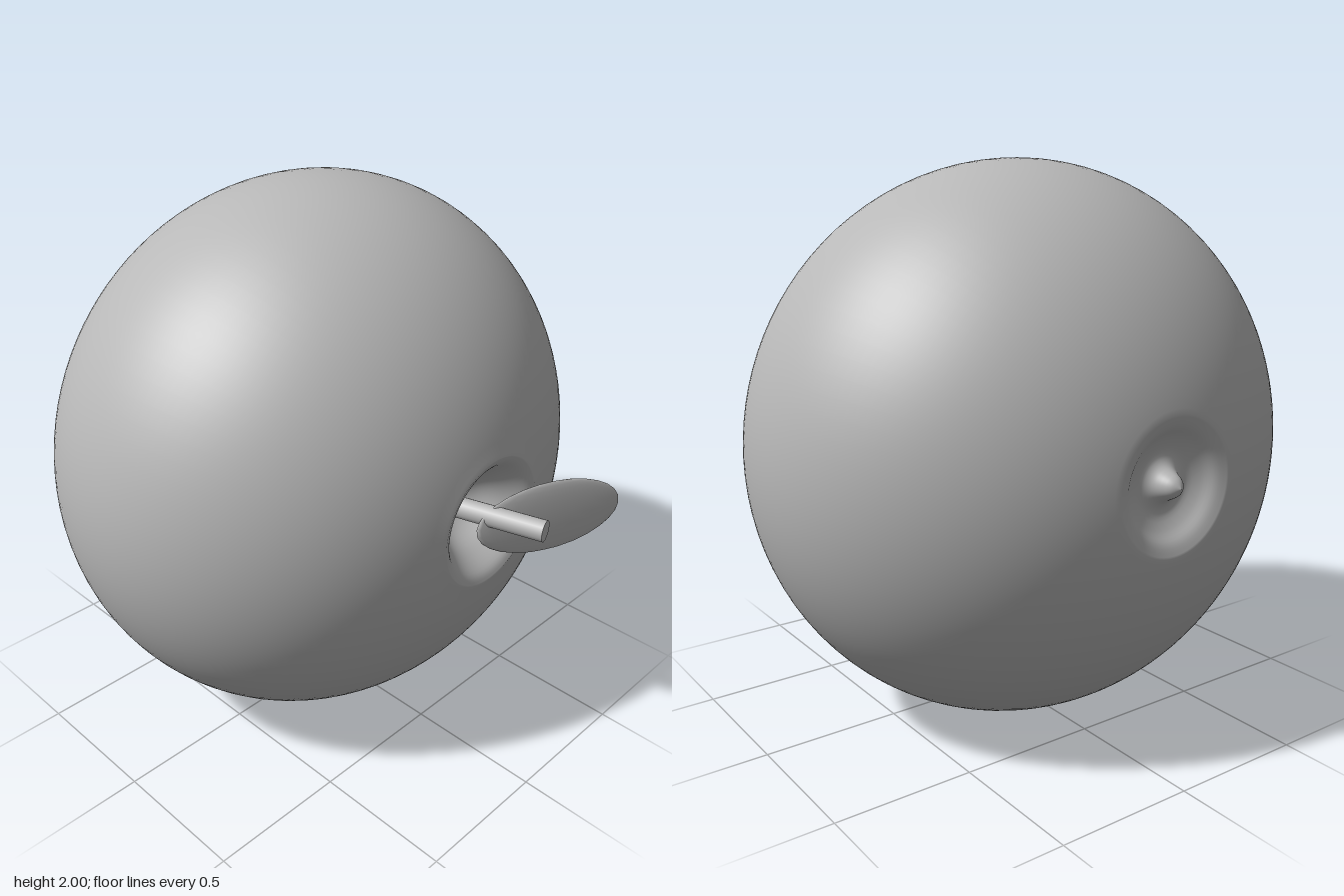
import * as THREE from 'three';

export function createModel() {
  const group = new THREE.Group();
  const grey = new THREE.MeshStandardMaterial({ color: 0xb8b8b8 });
  grey.name = 'plain grey';

  const add = (name, geometry) => {
    const mesh = new THREE.Mesh(geometry, grey);
    mesh.name = name;
    group.add(mesh);
    return mesh;
  };
  const smooth = (pts, n) =>
    new THREE.SplineCurve(pts.map(([r, z]) => new THREE.Vector2(r, z))).getPoints(n);

  // Fruit: squashed ball with a pointed blossom end at the back and a stem hollow in front
  const profile = smooth([[0, -0.935], [0.03, -0.915], [0.06, -0.865], [0.1, -0.85],
    [0.15, -0.87], [0.19, -0.9], [0.23, -0.916]], 24);
  const start = Math.asin(0.25);
  for (let i = 0; i <= 64; i++) {
    const a = start + (i / 64) * (Math.PI - 2 * start);
    profile.push(new THREE.Vector2(Math.sin(a), -0.08 - 0.86 * Math.cos(a)));
  }
  profile.push(...smooth([[0.235, 0.758], [0.2, 0.74], [0.15, 0.68],
    [0.1, 0.61], [0.05, 0.57], [0, 0.56]], 24));
  profile[0].x = 0;
  const body = new THREE.LatheGeometry(profile, 96);
  body.rotateX(Math.PI / 2);
  add('fruitBody', body).position.y = 1;

  // Stem: short leaning peg rising from the hollow
  const from = new THREE.Vector3(-0.03, 1.005, 0.55);
  const to = new THREE.Vector3(0.072, 1.005, 0.92);
  const dir = to.clone().sub(from);
  const stem = add('stem', new THREE.CylinderGeometry(0.038, 0.038, dir.length(), 12));
  stem.position.copy(from).add(to).multiplyScalar(0.5);
  stem.quaternion.setFromUnitVectors(new THREE.Vector3(0, 1, 0), dir.normalize());

  // Leaf: thin lens angled out to the side
  const leaf = add('leaf', new THREE.SphereGeometry(1, 20, 14));
  leaf.scale.set(0.292, 0.137, 0.018);
  leaf.rotation.set(0, -0.36, -0.06);
  leaf.position.set(0.235, 0.952, 0.828);

  return group;
}
